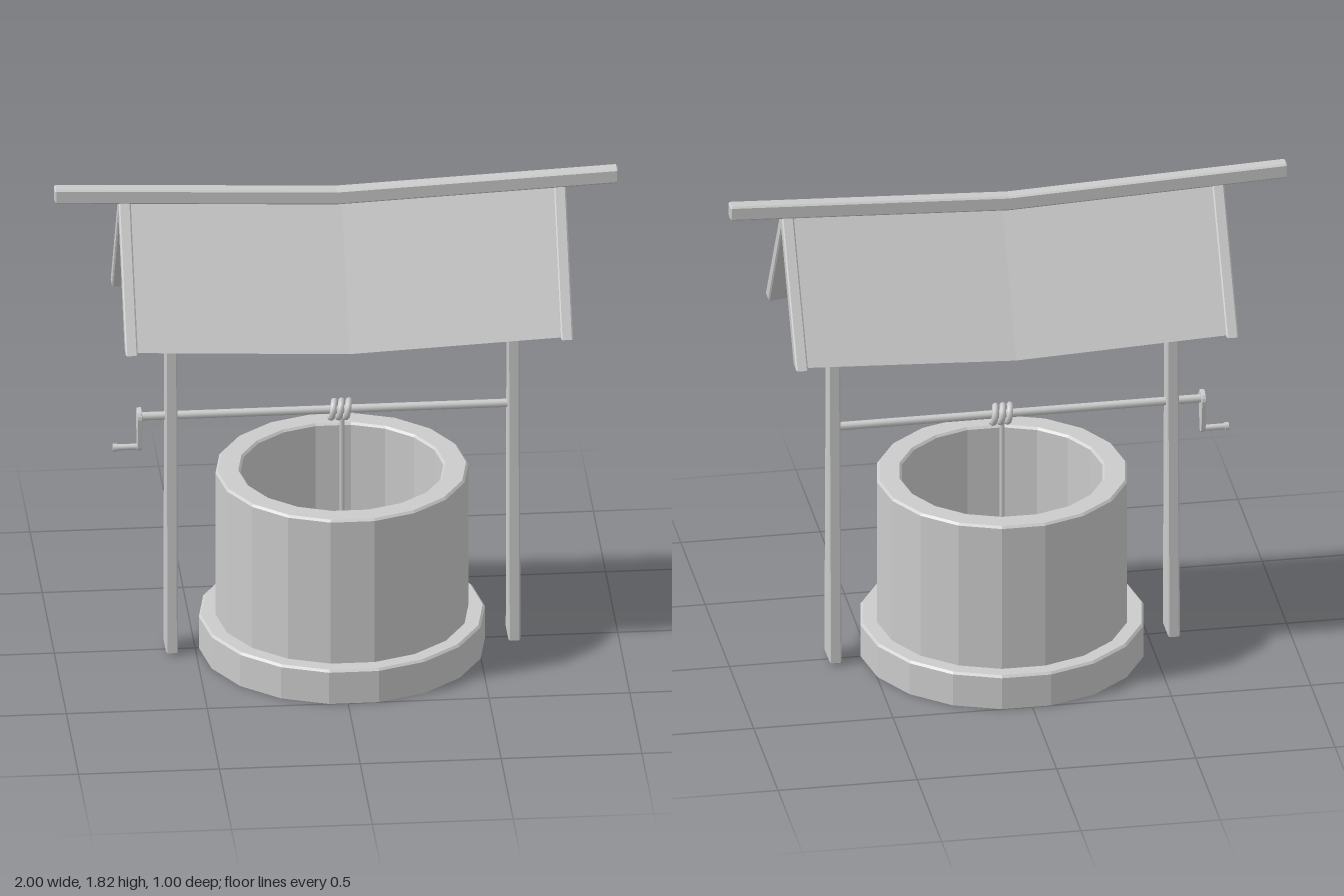
import * as THREE from 'three';

const CX = 0.021; // the structure's centre line; the crank and ridge overhang it

export function createModel() {
  const model = new THREE.Group();
  const flat = new THREE.MeshStandardMaterial({ color: 0xcccccc, flatShading: true });
  const smooth = new THREE.MeshStandardMaterial({ color: 0xcccccc });

  const add = (name, geometry, material = flat) => {
    const mesh = new THREE.Mesh(geometry, material);
    mesh.name = name;
    model.add(mesh);
    return mesh;
  };

  // Extrudes a (z, y) outline along x from x0 to x1, with small chamfers
  const prism = (points, x0, x1, steps = 1, bevel = 0.005) => {
    const shape = new THREE.Shape(points.map(([z, y]) => new THREE.Vector2(z, y)));
    const geometry = new THREE.ExtrudeGeometry(shape, {
      depth: x1 - x0 - 2 * bevel, steps, bevelEnabled: bevel > 0,
      bevelSize: bevel, bevelThickness: bevel, bevelOffset: -bevel, bevelSegments: 1,
    });
    return geometry.rotateY(Math.PI / 2).translate(x0 + bevel, 0, 0);
  };

  // Drops the middle of a long part so that it sags in a shallow V
  const sag = (geometry, drop, half, mid) => {
    const p = geometry.attributes.position;
    for (let i = 0; i < p.count; i++) {
      p.setY(i, p.getY(i) - drop * Math.max(0, 1 - Math.abs(p.getX(i) - mid) / half));
    }
    geometry.computeVertexNormals();
    return geometry;
  };

  // Inverted V outline: outer foot, inner foot and the two apex heights
  const gable = (outer, inner, foot, top, under) => [
    [outer, foot], [0, top], [-outer, foot], [-inner, foot], [0, under], [inner, foot],
  ];

  const lathe = (points, sides) =>
    new THREE.LatheGeometry(points.map(([r, y]) => new THREE.Vector2(r, y)), sides)
      .rotateY(Math.PI / 2);

  // Stone well: plinth and hollow wall
  const base = add('wellBase', lathe([
    [0, 0], [0.508, 0], [0.508, 0.122], [0.5, 0.13], [0, 0.13],
  ], 18));
  const wall = add('wellWall', lathe([
    [0.449, 0.12], [0.449, 0.682], [0.441, 0.69], [0.368, 0.69], [0.36, 0.682], [0.36, 0.12],
  ], 18));
  base.position.x = wall.position.x = CX;

  // Tapered posts and gable boards, mirrored about the centre line
  for (const [side, label] of [[-1, 'right'], [1, 'left']]) {
    const span = (a, b) => (side > 0 ? [CX + a, CX + b] : [CX - b, CX - a]);
    add(label + 'Post', prism(
      [[-0.058, 0.01], [0.058, 0.01], [0.019, 1.72], [-0.019, 1.72]], ...span(0.586, 0.629)));
    add(label + 'GableBoard', prism(
      gable(0.317, 0.258, 1.303, 1.795, 1.713), ...span(0.751, 0.794)));
  }

  // Sagging roof and ridge beam
  add('roofPanels', sag(prism(
    gable(0.297, 0.261, 1.305, 1.771, 1.714), CX - 0.755, CX + 0.755, 2, 0), 0.035, 0.755, CX));
  const c = 0.006, w = 0.026, y0 = 1.77, y1 = 1.825;
  add('ridgeBeam', sag(prism([
    [-w + c, y0], [w - c, y0], [w, y0 + c], [w, y1 - c],
    [w - c, y1], [-w + c, y1], [-w, y1 - c], [-w, y0 + c],
  ], -1, 1, 2), 0.044, 1, 0));

  // Windlass rod
  const rod = (name, r, x0, x1, y) => {
    const geometry = new THREE.CylinderGeometry(r, r, x1 - x0, 12).rotateZ(Math.PI / 2);
    add(name, geometry, smooth).position.set((x0 + x1) / 2, y, 0);
  };
  rod('windlassRod', 0.015, -0.7, 0.62, 0.915);

  // Crank: teardrop arm, handle and end knob
  const arm = [];
  for (let i = 0; i <= 8; i++) {
    const a = (i / 8) * Math.PI;
    arm.push([0.034 * Math.cos(a), 0.915 + 0.032 * Math.sin(a)]);
  }
  for (let i = 0; i <= 6; i++) {
    const a = Math.PI + (i / 6) * Math.PI;
    arm.push([0.017 * Math.cos(a), 0.8 + 0.016 * Math.sin(a)]);
  }
  add('crankArm', prism(arm, -0.707, -0.69, 1, 0.002));
  rod('crankHandle', 0.011, -0.785, -0.7, 0.797);
  rod('crankKnob', 0.014, -0.792, -0.778, 0.797);

  // Rope wound round the rod, then hanging into the well
  class Helix extends THREE.Curve {
    getPoint(t, target = new THREE.Vector3()) {
      const a = -Math.PI / 2 + t * Math.PI * 6;
      return target.set(-0.02 + 0.078 * t, 0.915 + 0.029 * Math.sin(a), 0.029 * Math.cos(a));
    }
  }
  add('ropeCoil', new THREE.TubeGeometry(new Helix(), 72, 0.012, 8), smooth);
  add('hangingRope', new THREE.CylinderGeometry(0.009, 0.009, 0.75, 8), smooth)
    .position.set(CX, 0.515, 0);

  return model;
}
